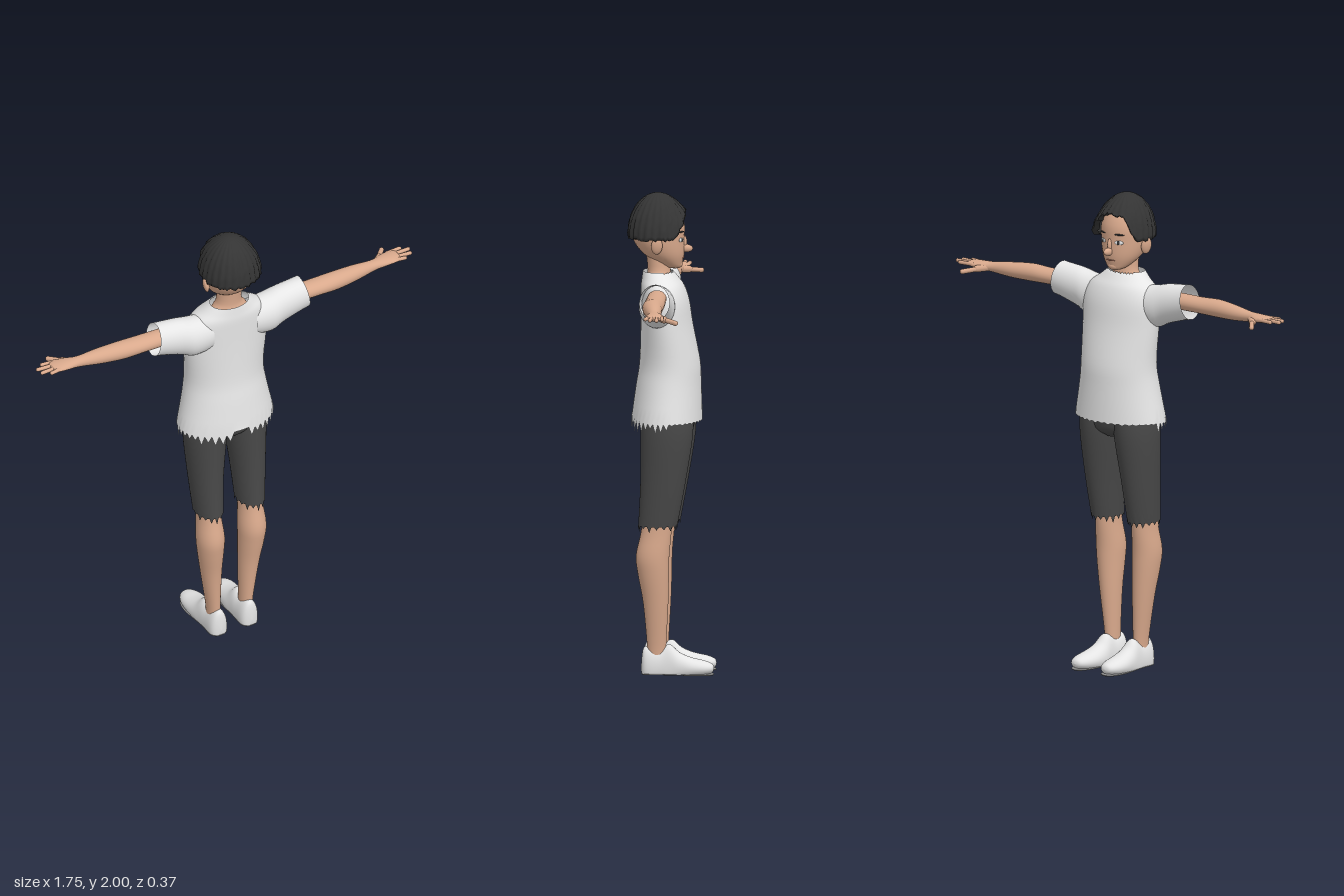
import * as THREE from 'three';

const mat = (name, color, side = THREE.FrontSide) => {
  const m = new THREE.MeshStandardMaterial({ color, side });
  m.name = name;
  return m;
};
const lerp = THREE.MathUtils.lerp;
const jitter = i => { const s = Math.sin(i * 127.1 + 3.7) * 43758.55; return s - Math.floor(s); };

// Closed-around grid surface: fn(angle, t, column) gives a point, t runs upward
function grid(nu, nv, fn) {
  const pos = [], idx = [];
  for (let j = 0; j <= nv; j++)
    for (let i = 0; i < nu; i++) pos.push(...fn(i / nu * Math.PI * 2, j / nv, i));
  for (let j = 0; j < nv; j++)
    for (let i = 0; i < nu; i++) {
      const a = j * nu + i, b = j * nu + (i + 1) % nu;
      idx.push(a, a + nu, b, b, a + nu, b + nu);
    }
  const g = new THREE.BufferGeometry();
  g.setAttribute('position', new THREE.Float32BufferAttribute(pos, 3));
  g.setIndex(idx);
  g.computeVertexNormals();
  return g;
}

// Smooth loft through elliptical sections [height, centreA, centreB, radiusA, radiusB]
function loft(sections, { nu = 32, axis = 'y', low, high, floor } = {}) {
  const n = sections.length - 1, nv = n * 4;
  const at = (i, k) => sections[Math.min(n, Math.max(0, i))][k];
  const value = (t, k) => {
    const s = Math.min(t * n, n - 1e-9), i = Math.floor(s), f = s - i;
    const p0 = at(i - 1, k), p1 = at(i, k), p2 = at(i + 1, k), p3 = at(i + 2, k);
    return p1 + 0.5 * f * (p2 - p0 + f * (2 * p0 - 5 * p1 + 4 * p2 - p3 + f * (3 * (p1 - p2) + p3 - p0)));
  };
  return grid(nu, nv, (u, t, i) => {
    let h = value(t, 0);
    if (t === 0 && low) h += low(u, i);
    if (t === 1 && high) h += high(u, i);
    const ra = Math.max(0, value(t, 3)), rb = Math.max(0, value(t, 4));
    const a = value(t, 1) + ra * Math.cos(u), b = value(t, 2) + rb * Math.sin(u);
    if (axis === 'x') return [h, b, a];
    if (axis === 'z') return [b, floor === undefined ? a : Math.max(floor, a), h];
    return [a, h, b];
  });
}

export function createModel() {
  const root = new THREE.Group();
  root.name = 'boy';
  const skin = mat('skin', 0xd9a98c);
  const white = mat('white cloth', 0xe6e6e6, THREE.DoubleSide);
  const shoeWhite = mat('shoe white', 0xe4e4e4);
  const sole = mat('sole grey', 0x8c8c8c);
  const dark = mat('dark shorts', 0x484848, THREE.DoubleSide);
  const hairMat = mat('black hair', 0x343434, THREE.DoubleSide);
  const eyeWhite = mat('eye white', 0xf6f6f6);
  const lip = mat('lip', 0xa8705c);

  const add = (name, geo, material, parent = root) => {
    const m = new THREE.Mesh(geo, material);
    m.name = name;
    parent.add(m);
    return m;
  };
  const blob = (name, material, p, s, parent = root) => {
    const m = add(name, new THREE.SphereGeometry(1, 20, 14), material, parent);
    m.position.set(...p);
    m.scale.set(...s);
    return m;
  };

  // Head and neck, face towards -z
  add('head', loft([
    [1.683, 0, -0.015, 0, 0], [1.69, 0, -0.012, 0.03, 0.028], [1.71, 0, 0.005, 0.056, 0.052],
    [1.75, 0, 0.032, 0.084, 0.087], [1.81, 0, 0.052, 0.1, 0.107], [1.88, 0, 0.052, 0.098, 0.105],
    [1.95, 0, 0.055, 0.066, 0.07], [1.975, 0, 0.055, 0, 0]]), skin);
  add('neck', loft([
    [1.58, 0, 0.045, 0.1, 0.06], [1.64, 0, 0.05, 0.08, 0.055],
    [1.68, 0, 0.05, 0.055, 0.047], [1.76, 0, 0.055, 0.055, 0.05]]), skin);
  blob('nose', skin, [0, 1.768, -0.06], [0.014, 0.017, 0.03]);
  blob('noseBridge', skin, [0, 1.793, -0.052], [0.01, 0.03, 0.014]);
  blob('mouth', lip, [0, 1.73, -0.047], [0.024, 0.004, 0.008]);
  blob('chin', skin, [0, 1.703, -0.028], [0.028, 0.018, 0.02]);

  // Hair cap whose lower edge follows a side-parted hairline
  const hairline = [[-1.5708, 1.93], [-1.3, 1.915], [-0.9, 1.868], [-0.65, 1.822], [-0.5, 1.815],
    [3.6, 1.815], [3.75, 1.83], [4.1, 1.915], [4.7124, 1.93]];
  const edge = u => {
    const w = u > 4.7123 ? u - Math.PI * 2 : u;
    const k = Math.max(1, hairline.findIndex(p => p[0] >= w));
    const [u0, y0] = hairline[k - 1], [u1, y1] = hairline[k];
    return lerp(y0, y1, (w - u0) / (u1 - u0));
  };
  add('hair', grid(96, 22, (u, t, i) => {
    const v = Math.max(0, (t * 22 - 1) / 21), s = Math.sin(v * Math.PI / 2);
    const c = Math.cos(u), sn = Math.sin(u), fade = 1 - s;
    const y = lerp(edge(u) + (jitter(i) - 0.5) * 0.012, 2, s);
    const k = Math.max(0, (y - 1.83) / 0.17);
    let r = Math.sqrt(Math.max(0, 1 - k * k));
    r *= 1 + 0.025 * Math.sin(u * 24 + v * 3) + 0.03 * (jitter(i + 7 * Math.floor(v * 21)) - 0.5);
    if (sn < 0) r *= 1 - 0.14 * sn * fade;
    if (t === 0) r *= 0.82;
    return [c * r * (c > 0 ? 0.118 + 0.016 * fade : 0.117), y, 0.055 + sn * r * 0.123];
  }), hairMat);

  // Shirt body with a frayed hem and collar
  add('shirt', loft([
    [1.06, 0, 0.0175, 0.213, 0.147], [1.2, 0, 0.01, 0.185, 0.135], [1.3, 0, 0.005, 0.175, 0.125],
    [1.45, 0, 0.0175, 0.185, 0.108], [1.55, 0, 0.025, 0.188, 0.1], [1.61, 0, 0.035, 0.165, 0.09],
    [1.645, 0, 0.045, 0.12, 0.076], [1.675, 0, 0.055, 0.085, 0.062]], {
    nu: 80,
    low: (u, i) => {
      if (Math.abs(u - Math.PI / 2) < 0.16) return 0.012;
      const tooth = i % 2 ? 0.02 + 0.03 * jitter(i) : 0;
      return Math.sin(u) > -0.2 ? -tooth : -tooth * 0.15;
    },
    high: (u, i) => Math.sin(u) < -0.5 ? (i % 2 ? -0.018 * jitter(i) : 0) : 0,
  }), white);

  // Hips
  add('shortsSeat', loft([
    [0.985, 0, 0.012, 0.03, 0.07], [1.02, 0, 0.012, 0.14, 0.104],
    [1.1, 0, 0.012, 0.165, 0.112], [1.2, 0, 0.012, 0.15, 0.108]]), dark);

  // One side of everything paired, then mirrored
  const side = new THREE.Group();
  side.name = 'leftSide';
  add('sleeve', loft([
    [0.1, 0.045, 1.545, 0.07, 0.08], [0.18, 0.047, 1.547, 0.074, 0.089],
    [0.24, 0.047, 1.566, 0.067, 0.083], [0.35, 0.045, 1.588, 0.062, 0.072]],
  { axis: 'x', high: u => -0.012 * Math.sin(u) }), white, side);
  add('arm', loft([
    [0.2, 0.045, 1.585, 0.04, 0.035], [0.4, 0.043, 1.585, 0.043, 0.034], [0.5, 0.043, 1.586, 0.042, 0.037],
    [0.6, 0.033, 1.584, 0.035, 0.032], [0.69, 0.024, 1.583, 0.025, 0.022], [0.74, 0.017, 1.585, 0.035, 0.018],
    [0.79, 0.015, 1.587, 0.039, 0.013], [0.81, 0.015, 1.587, 0.03, 0.009], [0.815, 0.015, 1.587, 0, 0]],
  { axis: 'x', nu: 24 }), skin, side);

  // Fingers and thumb as capsules between two points
  const finger = (name, a, b, r) => {
    const p = new THREE.Vector3(...a), q = new THREE.Vector3(...b), d = q.clone().sub(p);
    const m = add(name, new THREE.CapsuleGeometry(r, d.length(), 4, 10), skin, side);
    m.position.copy(p).add(q).multiplyScalar(0.5);
    m.quaternion.setFromUnitVectors(new THREE.Vector3(0, 1, 0), d.normalize());
  };
  [[-0.015, 0.838, -0.02], [0.005, 0.868, 0.001], [0.024, 0.862, 0.029], [0.041, 0.828, 0.049]].forEach(
    ([z0, x1, z1], i) => finger('finger' + (i + 1), [0.775, 1.588, z0], [x1, 1.588, z1], 0.0085));
  finger('thumb', [0.725, 1.578, -0.002], [0.782, 1.566, -0.072], 0.0105);
  finger('thumbBase', [0.71, 1.58, 0.01], [0.745, 1.575, -0.022], 0.015);

  // Shorts leg with a ragged cuff
  add('shortsLeg', loft([
    [0.615, 0.0975, 0.05, 0.058, 0.08], [0.8, 0.098, 0.028, 0.071, 0.093],
    [1.0, 0.092, 0.012, 0.088, 0.108], [1.12, 0.085, 0.012, 0.085, 0.108]],
  { nu: 48, low: (u, i) => i % 3 ? 0.01 : -0.022 * jitter(i) }), dark, side);
  add('lowerLeg', loft([
    [0.06, 0.075, 0.055, 0.027, 0.038], [0.13, 0.077, 0.055, 0.029, 0.04], [0.3, 0.0875, 0.058, 0.043, 0.052],
    [0.42, 0.095, 0.067, 0.054, 0.064], [0.5, 0.0975, 0.07, 0.058, 0.069], [0.6, 0.0975, 0.055, 0.05, 0.063],
    [0.72, 0.0975, 0.045, 0.05, 0.06]]), skin, side);

  // Shoe: sections along z as [z, top, centre x, half width]
  const shoe = [[-0.183, 0.03, 0.08, 0], [-0.175, 0.048, 0.08, 0.026], [-0.14, 0.062, 0.079, 0.045],
    [-0.09, 0.073, 0.077, 0.051], [-0.04, 0.094, 0.074, 0.048], [0.0, 0.127, 0.073, 0.043],
    [0.04, 0.112, 0.072, 0.041], [0.09, 0.12, 0.072, 0.04], [0.112, 0.105, 0.072, 0.027], [0.12, 0.06, 0.072, 0]];
  add('shoe', loft(shoe.map(([z, top, x, w]) => [z, 0.03, x, w ? top - 0.03 : 0, w]),
    { axis: 'z', floor: 0.004 }), shoeWhite, side);
  add('sole', loft(shoe.map(([z, , x, w]) => [z, 0.005, x, w ? 0.005 : 0, w * 0.98]), { axis: 'z' }), sole, side);

  // Ear, eye and brow
  blob('ear', skin, [0.108, 1.79, 0.052], [0.013, 0.036, 0.024], side).rotation.set(0, 0.3, -0.15);
  blob('eye', eyeWhite, [0.042, 1.808, -0.0445], [0.019, 0.009, 0.004], side).rotation.y = -0.42;
  blob('pupil', hairMat, [0.041, 1.808, -0.0475], [0.007, 0.008, 0.003], side).rotation.y = -0.42;
  blob('brow', hairMat, [0.044, 1.842, -0.0455], [0.022, 0.0035, 0.004], side).rotation.y = -0.42;

  const mirror = side.clone();
  mirror.name = 'rightSide';
  mirror.scale.x = -1;
  root.add(side, mirror);
  return root;
}
